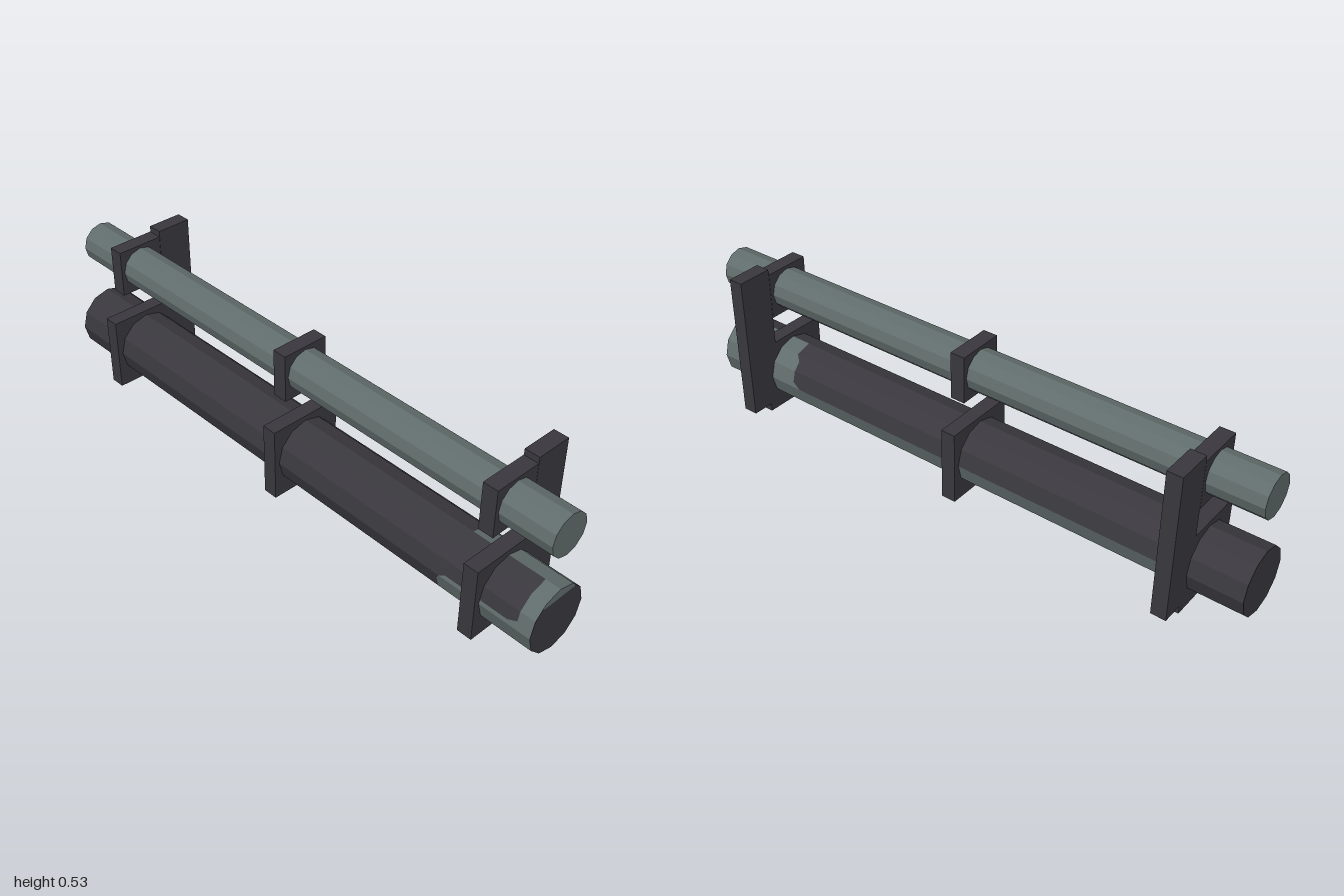
import * as THREE from 'three';

const PIPE_Z = 0.038, LOW_Y = 0.128, LOW_R = 0.109, HIGH_Y = 0.428, HIGH_R = 0.069, SIDES = 12;

const mat = (name, color) => {
  const m = new THREE.MeshStandardMaterial({ color, flatShading: true });
  m.name = name;
  return m;
};

export function createModel() {
  const dark = mat('darkIron', 0x3a383e);
  const green = mat('greyGreenPaint', 0x616d6c);
  const group = new THREE.Group();
  group.name = 'pipeRack';

  const add = (name, geo, material, x = 0, y = 0, z = 0) => {
    const mesh = new THREE.Mesh(geo, material);
    mesh.name = name;
    mesh.position.set(x, y, z);
    group.add(mesh);
  };
  const box = (name, x, y0, y1, z0, z1) =>
    add(name, new THREE.BoxGeometry(0.05, y1 - y0, z1 - z0), dark, x, (y0 + y1) / 2, (z0 + z1) / 2);

  // Upper pipe
  add('upperPipe', new THREE.CylinderGeometry(HIGH_R, HIGH_R, 2, SIDES).rotateZ(Math.PI / 2), green, 0, HIGH_Y, PIPE_Z);

  // Lower pipe wall: [facet counted from the top towards the front, start and end
  // across the facet, x where paint begins at each edge]
  const rows = [
    [0, 0, 1, 0.95, 0.95], [1, 0, 1, 0.95, 0.95],
    [2, 0, 0.55, 0.95, 0.95], [2, 0.55, 0.78, 0.95, 0.92], [2, 0.78, 1, 0.70, 0.68],
    [3, 0, 0.3, 0.68, 0.67], [3, 0.3, 1, 0.67, 0.67],
    [4, 0, 1, 1, 1], [5, 0, 1, 1, 1], [6, 0, 1, 1, 1], [7, 0, 1, 1, 1],
    [8, 0, 1, -0.8, -0.8],
    [9, 0, 0.3, 0.65, 0.68], [9, 0.3, 1, 0.68, 0.68],
    [10, 0, 0.6, 0.68, 0.68], [10, 0.6, 1, 0.68, 0.7], [11, 0, 1, 0.7, 0.7],
  ];
  const corner = (i) => {
    const a = (i * Math.PI * 2) / SIDES;
    return [LOW_R * Math.cos(a), LOW_R * Math.sin(a)];
  };
  const wall = (painted) => {
    const pos = [];
    for (const [f, t0, t1, s0, s1] of rows) {
      const [ya, za] = corner(f), [yb, zb] = corner(f + 1);
      const at = (x, t) => [x, ya + (yb - ya) * t, za + (zb - za) * t];
      const l0 = painted ? s0 : -1, l1 = painted ? s1 : -1;
      const r0 = painted ? 1 : s0, r1 = painted ? 1 : s1;
      if (r0 - l0 < 0.001) continue;
      const A = at(l0, t0), B = at(l1, t1), C = at(r1, t1), D = at(r0, t0);
      pos.push(...A, ...B, ...C, ...A, ...C, ...D);
    }
    const geo = new THREE.BufferGeometry();
    geo.setAttribute('position', new THREE.Float32BufferAttribute(pos, 3));
    geo.computeVertexNormals();
    return geo;
  };
  add('lowerPipeWall', wall(false), dark, 0, LOW_Y, PIPE_Z);
  add('lowerPipePaint', wall(true), green, 0, LOW_Y, PIPE_Z);

  // Lower pipe ends, with a painted segment at the top of the left one
  for (const s of [-1, 1]) {
    add('lowerPipeEnd', new THREE.CircleGeometry(LOW_R, SIDES).rotateY((s * Math.PI) / 2), dark, s * 0.999, LOW_Y, PIPE_Z);
  }
  const segment = new THREE.Shape([
    [-0.064, 0.077], [0.064, 0.077], [0.064, 0.085], [0.0545, 0.0944],
    [0, 0.109], [-0.0545, 0.0944], [-0.064, 0.085],
  ].map(([x, y]) => new THREE.Vector2(x, y)));
  add('endPaint', new THREE.ShapeGeometry(segment).rotateY(Math.PI / 2), green, 1, LOW_Y, PIPE_Z);

  // Square collars around both pipes, and back posts at the outer pairs
  for (const x of [-0.8, 0, 0.8]) {
    box('lowerCollar', x, 0, 0.253, -0.09, 0.164);
    box('upperCollar', x, 0.347, 0.507, -0.042, 0.118);
    if (x !== 0) box('backPost', x, 0.028, 0.527, -0.163, -0.043);
  }
  return group;
}
